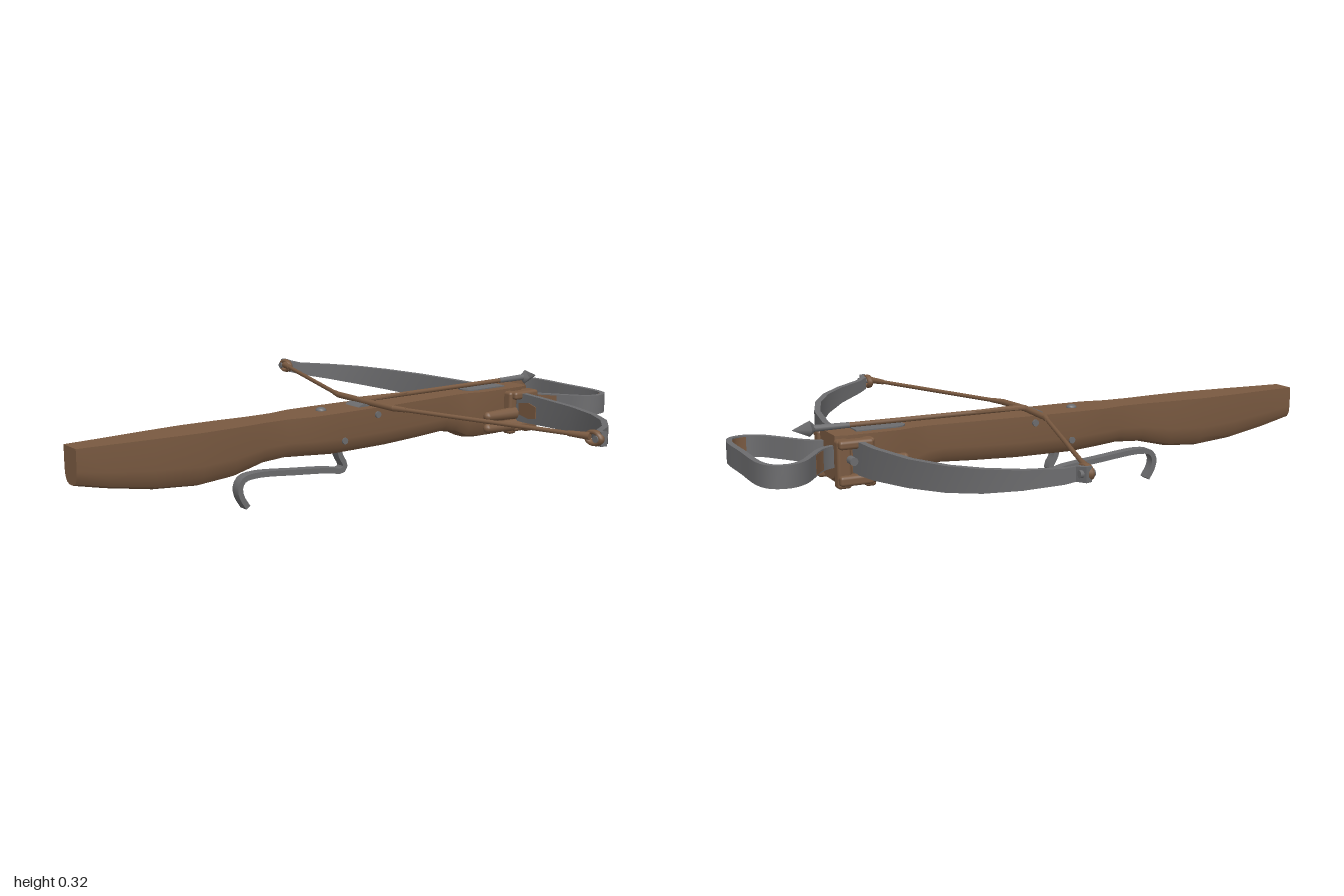
import * as THREE from 'three';
import { toCreasedNormals } from 'three/addons/utils/BufferGeometryUtils.js';
import { RoundedBoxGeometry } from 'three/addons/geometries/RoundedBoxGeometry.js';

const V = (x, y, z) => new THREE.Vector3(x, y, z);
const X = V(1, 0, 0), Y = V(0, 1, 0);

// Skin a list of equal-length rings, close both ends, and face it outwards
function loft(rings, crease = 0.6) {
  const tris = [], n = rings[0].length;
  for (let i = 0; i < rings.length - 1; i++) {
    const a = rings[i], b = rings[i + 1];
    for (let j = 0; j < n; j++) {
      const k = (j + 1) % n;
      tris.push([a[j], a[k], b[k]], [a[j], b[k], b[j]]);
    }
  }
  const cap = (r, flip) => {
    const c = r.reduce((s, p) => s.add(p), V(0, 0, 0)).divideScalar(n);
    r.forEach((p, j) => tris.push(flip ? [c, r[(j + 1) % n], p] : [c, p, r[(j + 1) % n]]));
  };
  cap(rings[0], true);
  cap(rings[rings.length - 1], false);
  const o = rings[0][0];
  const volume = tris.reduce((s, [a, b, c]) =>
    s + a.clone().sub(o).dot(b.clone().sub(o).cross(c.clone().sub(o))), 0);
  if (volume < 0) tris.forEach(t => t.reverse());
  const g = new THREE.BufferGeometry().setFromPoints(tris.flat());
  return toCreasedNormals(g, crease);
}

// Flat strap along a path: half = half width along axis, t = half thickness
function band(points, axis, half, t, offset = 0) {
  return loft(points.map((p, i) => {
    const dir = points[Math.min(i + 1, points.length - 1)].clone()
      .sub(points[Math.max(i - 1, 0)]);
    const normal = dir.addScaledVector(axis, -dir.dot(axis)).cross(axis).normalize();
    const h = typeof half === 'number' ? half : half[i];
    return [[1, 1], [1, -1], [-1, -1], [-1, 1]].map(([u, v]) =>
      p.clone().addScaledVector(axis, u * h).addScaledVector(normal, v * t + offset));
  }));
}

export function createModel() {
  const model = new THREE.Group();
  const wood = new THREE.MeshStandardMaterial({ color: 0x7a5a41 });
  wood.name = 'brown wood and cord';
  const steel = new THREE.MeshStandardMaterial({ color: 0x6c6c6e });
  steel.name = 'grey steel';

  const add = (name, geometry, material) => {
    const m = new THREE.Mesh(geometry, material);
    m.name = name;
    model.add(m);
    return m;
  };
  const rod = (name, a, b, ra, rb, material, sides = 10) => {
    const d = b.clone().sub(a);
    const m = add(name, new THREE.CylinderGeometry(rb, ra, d.length(), sides), material);
    m.position.copy(a).addScaledVector(d, 0.5);
    m.quaternion.setFromUnitVectors(Y, d.normalize());
    return m;
  };
  const ball = (name, p, r, material) => {
    const m = add(name, new THREE.SphereGeometry(r, 12, 8), material);
    m.position.copy(p);
    return m;
  };

  // Stock: z, half width, underside height
  const top = 0.283;
  const stations = [
    [1, 0.04, 0.17], [0.9, 0.047, 0.148], [0.75, 0.06, 0.122], [0.6, 0.07, 0.111],
    [0.48, 0.066, 0.12], [0.37, 0.058, 0.147], [0.28, 0.059, 0.153], [0.2, 0.075, 0.148],
    [0.1, 0.076, 0.14], [-0.1, 0.072, 0.141], [-0.25, 0.064, 0.147], [-0.37, 0.058, 0.154],
    [-0.42, 0.056, 0.145], [-0.47, 0.061, 0.122], [-0.52, 0.075, 0.116], [-0.62, 0.077, 0.115],
    [-0.7, 0.075, 0.117], [-0.73, 0.066, 0.14]];
  const section = [[1, 1], [1, 0.4], [0.92, 0.2], [0.7, 0.06], [0.3, 0]];
  add('stock', loft(stations.map(([z, w, b]) => {
    const side = section.map(([u, v]) => V(u * w, b + v * (top - b), z));
    return [...side, ...side.map(p => V(-p.x, p.y, p.z)).reverse()];
  })), wood);

  // Steel bed plate with a rounded rear end
  const plate = new THREE.Shape();
  plate.moveTo(-0.04, 0.65).lineTo(-0.04, 0.52);
  plate.quadraticCurveTo(-0.035, 0.48, 0, 0.48).quadraticCurveTo(0.035, 0.48, 0.04, 0.52);
  plate.lineTo(0.04, 0.65);
  const bed = add('bedPlate', new THREE.ExtrudeGeometry(plate,
    { depth: 0.006, bevelEnabled: false }), steel);
  bed.rotation.x = -Math.PI / 2;
  bed.position.y = top - 0.002;

  // String nut, top stud and cross pins
  const nut = add('stringNut', new THREE.CylinderGeometry(0.035, 0.035, 0.075, 16), steel);
  nut.rotation.z = Math.PI / 2;
  nut.position.set(0, 0.257, -0.028);
  ball('topStud', V(0, top, 0.12), 0.018, steel).scale.y = 0.6;
  for (const [y, z] of [[0.19, 0.08], [0.26, -0.055]]) {
    rod('crossPin', V(-0.08, y, z), V(0.08, y, z), 0.011, 0.011, steel);
  }

  // Bow: x, centre height, z, half height
  const limb = [
    [0.12, 0.218, -0.667, 0.051], [0.22, 0.22, -0.659, 0.048], [0.4, 0.228, -0.625, 0.042],
    [0.54, 0.236, -0.573, 0.038], [0.64, 0.245, -0.511, 0.034], [0.72, 0.256, -0.432, 0.028],
    [0.78, 0.269, -0.338, 0.022], [0.8, 0.277, -0.31, 0.021], [0.84, 0.281, -0.298, 0.022]];
  const bow = [...limb.map(([x, ...r]) => [-x, ...r]).reverse(),
    [0, 0.218, -0.669, 0.051], ...limb];
  add('bow', band(bow.map(p => V(p[0], p[1], p[2])), Y, bow.map(p => p[3]), 0.01), steel);
  add('bowBrownPatch', band([V(0.11, 0.214, -0.657), V(0.16, 0.214, -0.653),
    V(0.2, 0.213, -0.65)], Y, [0.02, 0.028, 0.02], 0.003), wood);

  // Foot stirrup
  const foot = [[0.04, -0.7], [0.05, -0.745], [0.075, -0.78], [0.14, -0.828], [0.2, -0.875],
    [0.225, -0.92], [0.213, -0.965], [0.17, -0.987]];
  const loop = new THREE.CatmullRomCurve3([...foot, [0, -0.991],
    ...foot.map(([x, z]) => [-x, z]).reverse()].map(([x, z]) => V(x, 0.216, z)));
  const strap = loop.getSpacedPoints(64);
  add('stirrup', band(strap, Y, 0.034, 0.009), steel);
  for (const [from, to, off] of [[5, 10, 0.0085], [17, 22, -0.0085], [43, 48, -0.0085], [55, 60, 0.0085]]) {
    add('stirrupBrownPatch', band(strap.slice(from, to), Y, 0.03, 0.0015, off), wood);
  }

  for (const s of [1, -1]) {
    // Bow yoke: two cheeks, a bolt and wedge pegs
    for (const [x, y, z, w, h, d] of [
      [0.088, 0.2, -0.715, 0.04, 0.15, 0.045], [0.088, 0.2, -0.632, 0.04, 0.15, 0.035],
      [0.105, 0.262, -0.68, 0.04, 0.028, 0.11], [0.105, 0.152, -0.68, 0.04, 0.032, 0.11]]) {
      add('yokeCheek', new RoundedBoxGeometry(w, h, d, 2, 0.01), wood).position.set(s * x, y, z);
    }
    rod('yokeBolt', V(s * 0.07, 0.215, -0.697), V(s * 0.14, 0.215, -0.697), 0.013, 0.013, steel);
    for (const y of [0.158, 0.2]) {
      rod('wedgePeg', V(s * 0.105, y, -0.64), V(s * 0.098, y, -0.52), 0.022, 0.016, wood);
      ball('wedgePegEnd', V(s * 0.098, y, -0.52), 0.016, wood);
    }

    // String half with its bindings and end loop
    const tip = V(s * 0.8, 0.286, -0.28), bend = V(s * 0.15, 0.292, -0.06);
    rod('bowString', tip, bend, 0.007, 0.007, wood);
    rod('stringEndBinding', tip, tip.clone().lerp(bend, 0.1), 0.012, 0.009, wood);
    rod('stringBinding', bend.clone().lerp(tip, 0.07), bend, 0.008, 0.01, wood);
    rod('stringCentre', bend, V(0, 0.294, -0.052), 0.01, 0.01, wood);
    ball('stringBend', bend, 0.01, wood);
    const eye = add('stringLoop', new THREE.TorusGeometry(0.018, 0.007, 8, 20), wood);
    eye.scale.set(1.5, 1, 1.6);
    eye.position.set(s * 0.808, 0.281, -0.29);
    rod('bowNock', V(s * 0.825, 0.281, -0.32), V(s * 0.825, 0.281, -0.275), 0.011, 0.011, steel);
  }

  // Trigger lever
  const lever = new THREE.CatmullRomCurve3([[0.155, 0.06], [0.125, 0.052], [0.09, 0.034],
    [0.075, 0.045], [0.083, 0.1], [0.095, 0.22], [0.108, 0.38], [0.1, 0.425],
    [0.075, 0.44], [0.045, 0.435], [0.009, 0.413]].map(([y, z]) => V(0, y, z)));
  add('triggerLever', band(lever.getSpacedPoints(40), X, 0.017, 0.009), steel);

  // Bolt: shaft, fletching and head
  const by = 0.298;
  rod('boltShaft', V(0, by, -0.05), V(0, by, -0.74), 0.008, 0.008, wood);
  for (const s of [1, -1]) {
    const vane = new THREE.Shape();
    vane.moveTo(0, 0.27).lineTo(s * 0.014, 0.2).lineTo(s * 0.03, 0.06).lineTo(0, 0.05);
    const m = add('boltVane', new THREE.ExtrudeGeometry(vane,
      { depth: 0.005, bevelEnabled: false }), wood);
    m.rotation.x = -Math.PI / 2;
    m.position.y = by;
  }
  rod('boltSocket', V(0, by, -0.66), V(0, by, -0.785), 0.009, 0.011, steel);
  rod('boltHeadBase', V(0, by, -0.77), V(0, by, -0.785), 0.011, 0.025, steel, 4);
  rod('boltHead', V(0, by, -0.785), V(0, by, -0.84), 0.025, 0.001, steel, 4);

  return model;
}
